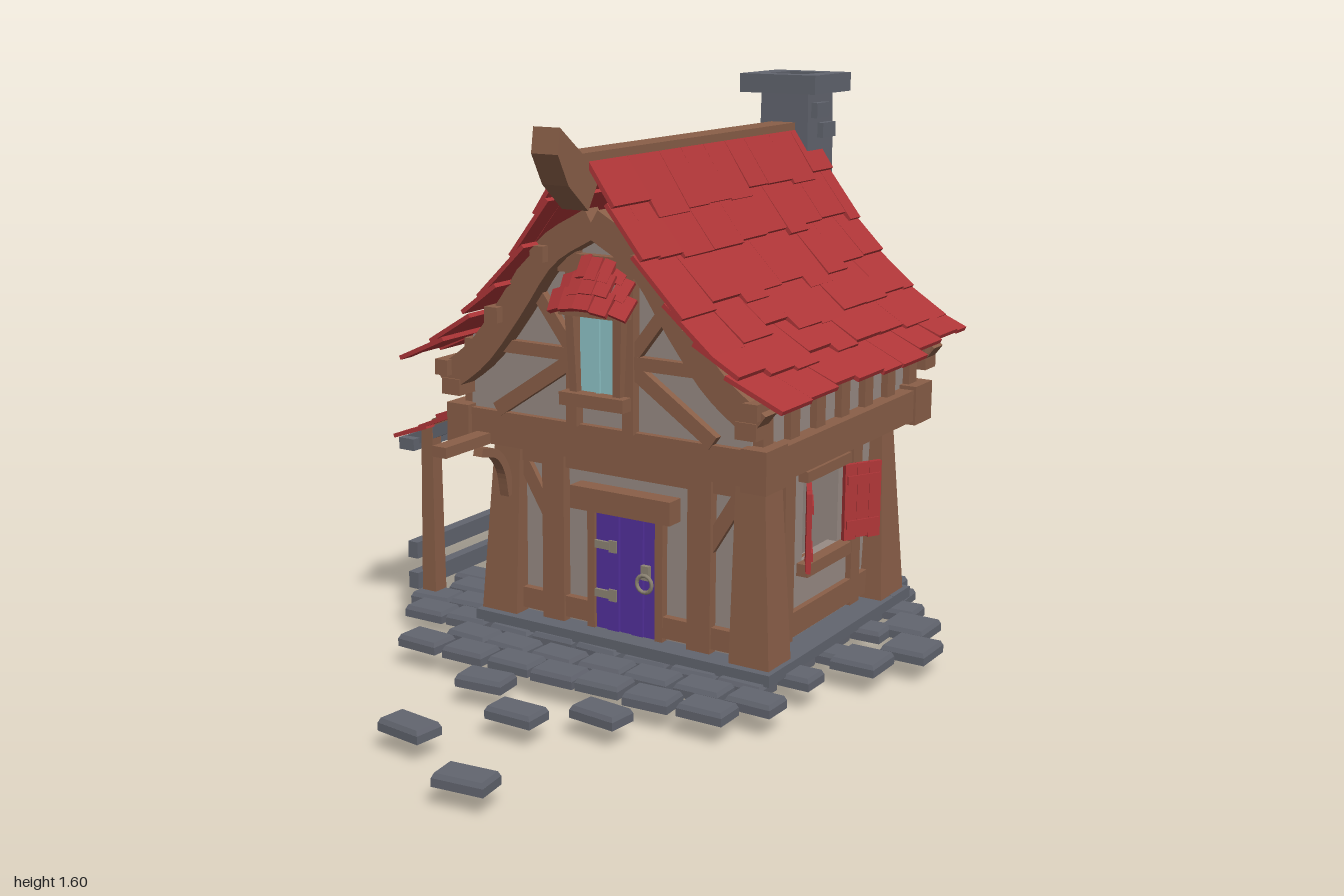
import * as THREE from 'three';
import { mergeGeometries } from 'three/addons/utils/BufferGeometryUtils.js';

const mat = (name, color, side = THREE.FrontSide) => {
  const m = new THREE.MeshStandardMaterial({ color, side });
  m.name = name;
  return m;
};
const wood = mat('wood', 0x8a5f48), stone = mat('stone', 0x62656f), red = mat('red tile', 0xb03638);
const plaster = mat('plaster', 0x988b84), purple = mat('purple door', 0x53309c);
const glass = mat('glass', 0x8fc4c8), metal = mat('metal', 0x8d8474);
const flue = mat('flue stone', 0x62656f, THREE.DoubleSide);

let seed = 7;
const rnd = () => (seed = (seed * 16807) % 2147483647) / 2147483647;
const jit = a => (rnd() * 2 - 1) * a;
const V = (x, y, z) => new THREE.Vector3(x, y, z);

function add(parent, name, geo, material) {
  const m = new THREE.Mesh(geo, material);
  m.name = name;
  parent.add(m);
  return m;
}
// Box given by its limits
function box(p, name, material, x0, x1, y0, y1, z0, z1) {
  const m = add(p, name, new THREE.BoxGeometry(x1 - x0, y1 - y0, z1 - z0), material);
  m.position.set((x0 + x1) / 2, (y0 + y1) / 2, (z0 + z1) / 2);
  return m;
}
// Straight beam between two points
function bar(p, name, material, a, b, w, d) {
  const dir = b.clone().sub(a);
  const m = add(p, name, new THREE.BoxGeometry(w, dir.length(), d), material);
  m.position.copy(a).add(b).multiplyScalar(0.5);
  m.quaternion.setFromUnitVectors(V(0, 1, 0), dir.normalize());
  return m;
}
// Post whose bottom and top are different rectangles [x0, x1, z0, z1]
function taper(p, name, material, y0, y1, lo, hi) {
  const g = new THREE.BoxGeometry(1, 1, 1).toNonIndexed(), a = g.attributes.position;
  for (let i = 0; i < a.count; i++) {
    const r = a.getY(i) > 0 ? hi : lo;
    a.setXYZ(i, a.getX(i) > 0 ? r[1] : r[0], a.getY(i) > 0 ? y1 : y0, a.getZ(i) > 0 ? r[3] : r[2]);
  }
  g.computeVertexNormals();
  return add(p, name, g, material);
}
const rect = (x0, x1, y0, y1) => [[x0, y0], [x1, y0], [x1, y1], [x0, y1]];
function extrude(pts, depth, hole) {
  const s = new THREE.Shape(pts.map(q => new THREE.Vector2(...q)));
  if (hole) s.holes.push(new THREE.Path(hole.map(q => new THREE.Vector2(...q))));
  return new THREE.ExtrudeGeometry(s, { depth, bevelEnabled: false });
}
// Curved beam of even width, cut from a board
function ribbon(pts, width, depth) {
  const c = new THREE.CatmullRomCurve3(pts.map(q => V(q[0], q[1], 0))), left = [], right = [];
  for (let i = 0; i <= 14; i++) {
    const q = c.getPoint(i / 14), t = c.getTangent(i / 14);
    left.push([q.x - t.y * width / 2, q.y + t.x * width / 2]);
    right.unshift([q.x + t.y * width / 2, q.y - t.x * width / 2]);
  }
  return extrude(left.concat(right), depth);
}
// Overlapping shingles down a slope profile, their lower ends flaring outwards
function tiles(p, name, profile, s, z0, z1, rows, cols, rag) {
  const curve = new THREE.CatmullRomCurve3(profile.map(q => V(q[0] * s, q[1], 0))), list = [];
  const pitch = (z1 - z0) / cols;
  for (let r = 0; r < rows; r++) {
    let z = z0;
    for (let c = 0; z < z1 - 0.02; c++) {
      let w = pitch * (c === 0 && r % 2 ? 0.5 : 0.8 + rnd() * 0.4);
      if (z + w > z1 - 0.04) w = z1 - z;
      const a = curve.getPoint(Math.max(0, r / rows - 0.04));
      const b = curve.getPoint((r + 1) / rows);
      const d = b.clone().sub(a), len = d.length() + 0.02 + jit(rag);
      b.copy(a).addScaledVector(d.normalize(), len);
      b.x += 0.008 * s;
      b.y += 0.017 + jit(0.005);
      const g = new THREE.BoxGeometry(a.distanceTo(b), 0.012, w - 0.001);
      g.rotateZ(Math.atan2(b.y - a.y, b.x - a.x));
      g.translate((a.x + b.x) / 2, (a.y + b.y) / 2, z + w / 2);
      list.push(g);
      z += w;
    }
  }
  return add(p, name, mergeGeometries(list), red);
}

function buildLower(h) {
  // Floor, plinth and tapered corner posts
  box(h, 'floor', wood, -0.42, 0.42, 0.09, 0.11, -0.68, 0.04);
  box(h, 'plinthFront', stone, -0.47, 0.48, 0.085, 0.117, 0, 0.11);
  box(h, 'plinthBack', stone, -0.47, 0.48, 0.085, 0.117, -0.75, -0.64);
  for (const s of [-1, 1]) {
    box(h, 'plinthSide', stone, s * 0.43 - 0.05, s * 0.43 + 0.05, 0.086, 0.116, -0.7, 0.05);
    const span = (a, b) => s > 0 ? [a, b] : [-b, -a];
    taper(h, 'cornerPost', wood, 0.115, 0.63, [...span(0.345, 0.465), -0.035, 0.086], [...span(0.345, 0.43), -0.03, 0.06]);
    taper(h, 'cornerPost', wood, 0.115, 0.63, [...span(0.345, 0.465), -0.73, -0.585], [...span(0.345, 0.43), -0.7, -0.63]);
    // Side wall: a window on one side, a wide serving hatch on the other
    const hole = s > 0 ? rect(0.22, 0.43, 0.325, 0.555) : rect(0.12, 0.5, 0.325, 0.555);
    const wall = add(h, 'sideWall', extrude(rect(-0.02, 0.68, 0.11, 0.65), 0.03, hole), plaster);
    wall.rotation.y = Math.PI / 2;
    wall.position.x = s * 0.38 - 0.015;
    const side = (n, y0, y1, z0, z1, out = 0.412) => box(h, n, wood, ...span(0.37, out), y0, y1, z0, z1);
    side('sideRail', 0.13, 0.2, -0.62, 0);
    side('sideTopRail', 0.595, 0.63, -0.65, 0);
    side('sideStud', 0.12, 0.63, -0.145, -0.09);
    side('sideStud', 0.12, 0.63, -0.545, -0.49);
    side('windowSill', 0.29, 0.325, -0.45, -0.19, s > 0 ? 0.43 : 0.47);
    side('windowHead', 0.555, 0.585, -0.45, -0.19, 0.425);
  }
  // Shutters standing half open
  for (const s of [-1, 1]) {
    const shutter = new THREE.Group();
    shutter.name = 'shutter';
    shutter.position.set(0.412, 0, -0.325 + s * 0.105);
    shutter.rotation.y = s * 0.5;
    for (let i = 0; i < 3; i++) {
      const z = s * (0.021 + i * 0.041);
      box(shutter, 'shutterPlank', red, -0.007, 0.007, 0.33 + 0.005 * (i % 2), 0.55, z - 0.02, z + 0.02);
    }
    for (const y of [0.375, 0.505]) box(shutter, 'shutterBatten', red, 0.005, 0.012, y - 0.012, y + 0.012, s * 0.062 - 0.055, s * 0.062 + 0.055);
    h.add(shutter);
  }
  // End walls and their timbers
  for (const [z, s] of [[0.015, 1], [-0.665, -1]]) {
    box(h, 'endWall', plaster, -0.39, 0.39, 0.11, 0.65, z - 0.015, z + 0.015);
    const f = z + s * 0.02;
    for (const x of [-0.235, 0.235]) box(h, 'endStud', wood, x - 0.036, x + 0.036, 0.115, 0.63, f - 0.025, f + 0.025);
    box(h, 'endTopRail', wood, -0.36, 0.36, 0.56, 0.61, f - 0.015, f + 0.015);
    for (const e of [-1, 1]) {
      box(h, 'endRail', wood, e * 0.235 - 0.13, e * 0.235 + 0.13, 0.13, 0.19, f - 0.018, f + 0.018);
      bar(h, 'endBrace', wood, V(e * 0.25, 0.4, f), V(e * 0.36, 0.58, f), 0.04, 0.024);
    }
  }
}

function buildDoor(h) {
  for (let i = 0; i < 5; i++) box(h, 'doorPlank', purple, -0.1 + i * 0.039, -0.064 + i * 0.039, 0.117, 0.46, 0.005, 0.045 + (i % 2) * 0.004);
  box(h, 'doorBack', purple, -0.1, 0.095, 0.117, 0.46, -0.006, 0.04);
  for (const x of [-0.112, 0.107]) box(h, 'doorJamb', wood, x - 0.012, x + 0.012, 0.117, 0.47, 0, 0.055);
  box(h, 'doorLintel', wood, -0.16, 0.16, 0.46, 0.525, 0, 0.085);
  for (const y of [0.22, 0.36]) {
    box(h, 'hinge', metal, -0.1, -0.05, y - 0.011, y + 0.011, 0.046, 0.055);
    bar(h, 'hingeTip', metal, V(-0.055, y, 0.05), V(-0.03, y, 0.05), 0.034, 0.009);
  }
  add(h, 'handleRing', new THREE.TorusGeometry(0.024, 0.006, 6, 14), metal).position.set(0.065, 0.275, 0.06);
  box(h, 'handlePlate', metal, 0.053, 0.077, 0.285, 0.325, 0.045, 0.06);
}

function buildUpper(h) {
  // Jetty beams
  box(h, 'upperFloor', wood, -0.45, 0.45, 0.635, 0.665, -0.76, 0.13);
  box(h, 'frontBeam', wood, -0.45, 0.45, 0.63, 0.725, 0.08, 0.17);
  box(h, 'backBeam', wood, -0.45, 0.45, 0.63, 0.725, -0.79, -0.7);
  const half = [[0.44, 0.7], [0.44, 0.83], [0.37, 0.885], [0.26, 1.02], [0.14, 1.18]];
  const gable = [...half, [0, 1.275], ...half.map(q => [-q[0], q[1]]).reverse()];
  for (const s of [-1, 1]) {
    box(h, 'sideBeam', wood, s * 0.46 - 0.035, s * 0.46 + 0.035, 0.632, 0.722, -0.79, 0.15);
    for (const z of [0.13, -0.75]) box(h, 'beamEnd', wood, s * 0.465 - 0.037, s * 0.465 + 0.037, 0.62, 0.733, z - 0.055, z + 0.055);
    box(h, 'upperSideWall', plaster, s * 0.435 - 0.015, s * 0.435 + 0.015, 0.7, 0.92, -0.76, 0.13);
    for (let i = 0; i < 7; i++) box(h, 'upperStud', wood, s * 0.45 - 0.02, s * 0.45 + 0.02, 0.72, 0.91, -0.765 + i * 0.143, -0.715 + i * 0.143);
    for (const [x, y] of [[0.155, 1.18], [0.305, 1.005]])
      box(h, 'purlin', wood, s * x - 0.021, s * x + 0.021, y - 0.021, y + 0.021, -0.85, 0.24);
    for (const z of [-0.8, 0.185]) box(h, 'purlinStub', wood, s * 0.48 - 0.021, s * 0.48 + 0.021, 0.82, 0.863, z - 0.05, z + 0.05);
  }
  // Gables with curved bargeboards and braces
  for (const [z, s] of [[0.135, 1], [-0.765, -1]]) {
    add(h, 'gableWall', extrude(gable, 0.03), plaster).position.z = z - 0.015;
    const f = z + s * 0.025;
    for (const e of [-1, 1]) {
      const board = [[0.49, 0.8], [0.37, 0.89], [0.26, 1.025], [0.14, 1.185], [0.0, 1.27]].map(q => [q[0] * e, q[1]]);
      add(h, 'bargeboard', ribbon(board, 0.078, 0.06), wood).position.z = z + s * 0.05 - 0.03;
      box(h, 'bargeFoot', wood, e * 0.46 - 0.03, e * 0.46 + 0.03, 0.765, 0.81, z + s * 0.05 - 0.035, z + s * 0.05 + 0.035);
      box(h, 'gableStud', wood, e * 0.088 - 0.017, e * 0.088 + 0.017, 0.72, 1.19, f - 0.02, f + 0.02);
      bar(h, 'gableRail', wood, V(e * 0.09, 0.91, f), V(e * 0.34, 0.91, f), 0.035, 0.028);
      bar(h, 'gableBrace', wood, V(e * 0.34, 0.73, f), V(e * 0.1, 0.89, f), 0.04, 0.026);
      bar(h, 'gableBrace', wood, V(e * 0.1, 0.93, f), V(e * 0.2, 1.06, f), 0.035, 0.026);
    }
    box(h, 'gableCollar', wood, -0.13, 0.13, 1.13, 1.18, f - 0.02, f + 0.02);
  }
  // Gable window under its little hood
  box(h, 'windowGlass', glass, -0.06, 0.06, 0.82, 1.04, 0.17, 0.179);
  box(h, 'windowMullion', glass, -0.005, 0.005, 0.82, 1.04, 0.178, 0.186);
  box(h, 'gableSill', wood, -0.1, 0.1, 0.785, 0.82, 0.14, 0.22);
  for (const s of [-1, 1]) taper(h, 'gableJamb', wood, 0.81, 1.05, [s * 0.067 - 0.011, s * 0.067 + 0.011, 0.14, 0.2], [s * 0.076 - 0.013, s * 0.076 + 0.013, 0.14, 0.21]);
  box(h, 'gableWindowHead', wood, -0.1, 0.1, 1.025, 1.06, 0.14, 0.22);
  for (let r = 0; r < 3; r++) for (let i = 0; i < 5; i++) {
    const w = (0.17 + r * 0.04) / 5, u = i - 2;
    const t = add(h, 'hoodTile', new THREE.BoxGeometry(w, 0.066, 0.014), red);
    t.position.set(u * w, 1.15 - r * 0.038 - u * u * 0.003 + jit(0.005), 0.2 + r * 0.022 - u * u * 0.006);
    t.rotation.set(-0.65, u * 0.15, -u * 0.08);
  }
}

function buildRoof(h) {
  const slope = [[0.035, 1.43], [0.145, 1.235], [0.28, 1.07], [0.41, 0.95], [0.56, 0.86]];
  for (const s of [-1, 1]) tiles(h, 'mainRoof', slope, s, -0.895, 0.283, 6, 9, 0.028);
  const ridge = add(h, 'ridgeBeam', extrude([[0.82, 1.38], [0.82, 1.455], [-0.31, 1.455], [-0.405, 1.525],
    [-0.415, 1.46], [-0.37, 1.38], [-0.285, 1.31], [-0.24, 1.38]], 0.08), wood);
  ridge.rotation.y = Math.PI / 2;
  ridge.position.x = -0.04;
}

function buildLeanTo(g) {
  tiles(g, 'leanToRoof', [[-0.36, 0.73], [-0.5, 0.665], [-0.62, 0.605], [-0.73, 0.55]], 1, -0.63, 0.02, 4, 5, 0.035);
  taper(g, 'frontPorchPost', wood, 0.08, 0.59, [-0.685, -0.635, -0.06, -0.01], [-0.68, -0.64, -0.055, -0.015]);
  taper(g, 'backPorchPost', stone, 0.08, 0.58, [-0.685, -0.635, -0.6, -0.55], [-0.68, -0.64, -0.6, -0.555]);
  for (const z of [-0.035, -0.58]) bar(g, 'porchRafter', stone, V(-0.74, 0.53, z), V(-0.38, 0.685, z), 0.035, 0.035);
  box(g, 'porchBeam', stone, -0.745, -0.69, 0.515, 0.55, -0.62, 0.01);
  for (const y of [0.115, 0.21]) box(g, 'porchRail', stone, -0.72, -0.685, y - 0.025, y + 0.025, -0.63, 0.01);
  add(g, 'porchBrace', ribbon([[-0.64, 0.6], [-0.56, 0.635], [-0.45, 0.635], [-0.38, 0.58], [-0.35, 0.52]], 0.025, 0.03), wood).position.z = -0.05;
  // Hanging bracket at the front corner
  box(g, 'bracketArm', wood, -0.33, -0.285, 0.63, 0.66, 0.1, 0.365);
  const b = add(g, 'bracketBrace', ribbon([[-0.2, 0.61], [-0.13, 0.59], [-0.09, 0.54], [-0.07, 0.46]], 0.025, 0.03), wood);
  b.rotation.y = Math.PI / 2;
  b.position.x = -0.32;
}

function buildChimney(g) {
  const rings = [[0, -0.11, 0.26, -0.97, -0.66], [0.45, -0.11, 0.26, -0.975, -0.7], [0.55, -0.09, 0.24, -0.975, -0.71],
    [0.64, -0.045, 0.2, -0.975, -0.745], [0.74, -0.005, 0.17, -0.972, -0.79], [1.56, 0.005, 0.16, -0.955, -0.8]];
  const geo = new THREE.CylinderGeometry(1, 1, 1, 4, 5, true, Math.PI / 4).toNonIndexed(), a = geo.attributes.position;
  for (let i = 0; i < a.count; i++) {
    const r = rings[Math.round((a.getY(i) + 0.5) * 5)];
    a.setXYZ(i, a.getX(i) > 0 ? r[2] : r[1], r[0], a.getZ(i) > 0 ? r[4] : r[3]);
  }
  geo.computeVertexNormals();
  add(g, 'chimneyStack', geo, flue);
  box(g, 'chimneyFoot', stone, -0.11, 0.26, 0, 0.05, -0.97, -0.66);
  for (const [x0, x1, z0, z1] of [[-0.05, 0.2, -0.995, -0.945], [-0.05, 0.2, -0.815, -0.765], [-0.05, 0.02, -0.945, -0.815], [0.14, 0.2, -0.945, -0.815]])
    box(g, 'chimneyCap', stone, x0, x1, 1.54, 1.595, z0, z1);
  box(g, 'chimneyBand', stone, -0.015, 0.18, 0.86, 0.9, -0.982, -0.78);
  // Raised bricks on the back and sides
  for (const [x, y] of [[0.18, 0.15], [0.12, 0.2], [0.2, 0.22], [-0.05, 0.4], [0, 0.34], [0.11, 0.56], [0.05, 1.0], [0.12, 1.2], [0.06, 1.25], [0.1, 0.95]])
    box(g, 'backBrick', stone, x - 0.035, x + 0.035, y - 0.022, y + 0.022, -0.985, -0.945);
  for (const [z, y] of [[-0.8, 0.38], [-0.85, 0.32]]) for (const x of [-0.105, 0.255])
    box(g, 'sideBrick', stone, x - 0.018, x + 0.018, y - 0.022, y + 0.022, z - 0.04, z + 0.04);
  for (const [z, y] of [[-0.86, 1.49], [-0.9, 1.43], [-0.93, 0.96]])
    box(g, 'shaftBrick', stone, 0.149, 0.181, y - 0.022, y + 0.022, z - 0.04, z + 0.04);
}

function buildPaving(g) {
  // Each stone is a cap over a hollow rim
  const slab = (x, z, w, d, turn, y = 0.073) => {
    const s = new THREE.Group(), u = w / 2, v = d / 2;
    s.name = 'pavingStone';
    taper(s, 'stoneCap', stone, 0.004, 0.017, [-u, u, -v, v], [-u + 0.006, u - 0.006, -v + 0.006, v - 0.006]);
    const rim = add(s, 'stoneRim', extrude(rect(-u, u, -v, v), 0.022, rect(-u + 0.012, u - 0.012, -v + 0.012, v - 0.012)), stone);
    rim.rotation.x = -Math.PI / 2;
    rim.position.y = -0.017;
    s.position.set(x, y, z);
    s.rotation.y = turn;
    g.add(s);
  };
  for (let r = 0; r < 12; r++) for (let c = 0; c < 9; c++) {
    const z = -0.87 + r * 0.106, x = -0.64 + c * 0.15 + (r % 2) * 0.07;
    const porch = x < -0.42 && z > -0.6 && z < 0.1;
    const corner = x > 0.5 && (z < -0.7 || z > 0.2);
    if (x > 0.58 || corner || (x < -0.42 && !porch) || (z < -0.66 && x > -0.11 && x < 0.26)) continue;
    slab(x + jit(0.008), z + jit(0.008), 0.132, 0.09, jit(0.07), 0.072 + jit(0.004));
  }
  for (const [x, z] of [[0.66, -0.54], [0.735, -0.385], [0.66, -0.23]]) slab(x, z, 0.13, 0.13, 0);
  // Stepping stones
  for (const [x, z, r] of [[-0.11, 0.435, 0.1], [0.27, 0.455, -0.1], [0.09, 0.57, 0], [-0.08, 0.785, -0.12], [0.225, 0.95, 0.12]])
    slab(x, z, 0.14, 0.085, r, 0.07);
}

export function createModel() {
  const model = new THREE.Group();
  model.name = 'cottage';
  const part = (name, build, x = 0) => {
    const g = new THREE.Group();
    g.name = name;
    g.position.x = x;
    build(g);
    model.add(g);
  };
  part('lowerStorey', buildLower, 0.08);
  part('door', buildDoor, 0.08);
  part('upperStorey', buildUpper, 0.08);
  part('roof', buildRoof, 0.08);
  part('leanTo', buildLeanTo);
  part('chimney', buildChimney);
  part('paving', buildPaving);
  return model;
}
